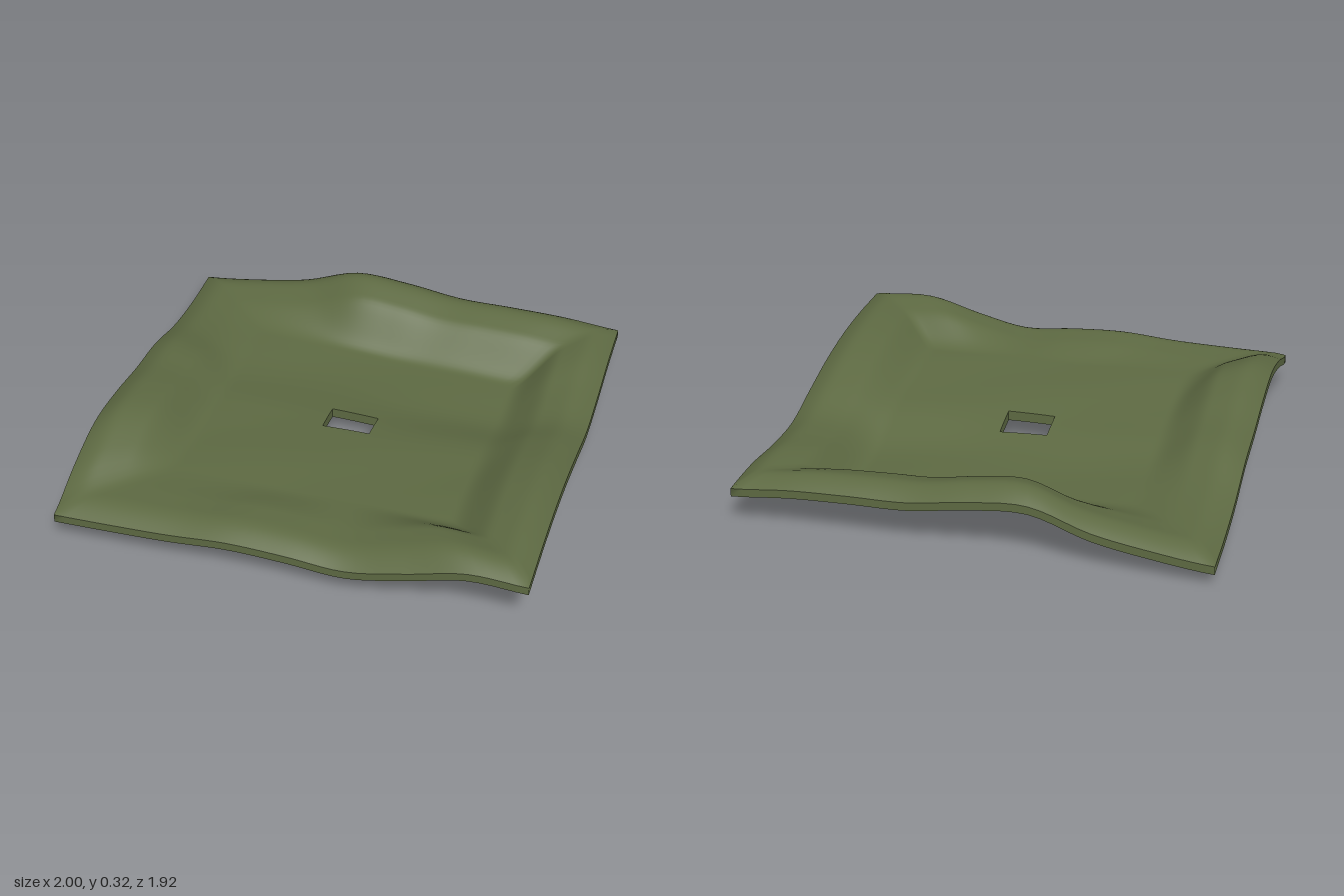
import * as THREE from 'three';

// Lip heights along each edge, evenly spaced from -1 to 1
const EDGE = {
  front: [0.145, 0.148, 0.155, 0.172, 0.162, 0.143, 0.193, 0.255, 0.245],
  back: [0.094, 0.125, 0.172, 0.257, 0.243, 0.207, 0.203, 0.195, 0.172],
  rightSide: [0.094, 0.1, 0.13, 0.192, 0.22, 0.26, 0.276, 0.225, 0.145],
  leftSide: [0.172, 0.165, 0.135, 0.125, 0.175, 0.222, 0.248, 0.253, 0.245],
};
const FLOOR = [0.055, 0.055, 0.052, 0.062, 0.108, 0.132, 0.145, 0.15, 0.15];
const HALF_X = 1, HALF_Z = 0.96;
const { lerp, clamp, smoothstep } = THREE.MathUtils;

// Smooth lookup (Catmull-Rom) in an evenly spaced table
function sample(table, p) {
  const f = clamp((p + 1) / 2, 0, 1) * (table.length - 1);
  const i = Math.min(Math.floor(f), table.length - 2), t = f - i;
  const at = (k) => table[clamp(k, 0, table.length - 1)];
  const a = at(i - 1), b = at(i), c = at(i + 1), d = at(i + 2);
  return b + 0.5 * t * (c - a + t * (2 * a - 5 * b + 4 * c - d + t * (3 * (b - c) + d - a)));
}

// Height of the middle of the sheet: sunken floor, raised wavy rim, drooping lip
function midHeight(x, z) {
  const u = x / HALF_X, v = z / HALF_Z;
  const s = Math.max(Math.abs(u), Math.abs(v), 1e-6);
  const edge = Math.abs(u) >= Math.abs(v)
    ? sample(u > 0 ? EDGE.leftSide : EDGE.rightSide, v / s)
    : sample(v > 0 ? EDGE.front : EDGE.back, u / s);
  const tilt = 0.053 * u * (1 - 0.8 * smoothstep(v, -0.3, 0.1));
  const ripple = 0.004 * Math.sin(9 * u + 4 * v) * Math.sin(8 * v - 3 * u);
  const floor = sample(FLOOR, v) - tilt + ripple;
  const rim = 0.75 * smoothstep(s, 0.59, 0.79) + 0.25 * smoothstep(s, 0.7, 0.93);
  const droop = 0.045 * Math.max(0, (s - 0.87) / 0.13) ** 2;
  return lerp(floor, edge + 0.022, rim) - droop;
}

// The sheet thins slightly towards its outer edge
function halfThickness(x, z) {
  const s = Math.max(Math.abs(x / HALF_X), Math.abs(z / HALF_Z));
  return 0.022 - 0.004 * smoothstep(s, 0.9, 1);
}

// Point on the unit square outline, a in 0..4, one unit per side
function squarePoint(a) {
  const side = Math.floor(a) % 4, t = (a - Math.floor(a)) * 2 - 1;
  return [[t, 1], [1, -t], [-t, -1], [-1, t]][side];
}

// Point of the sheet: a around the outline, t from hole to edge, h from -1 (under) to 1 (top)
function sheetPoint(a, t, h) {
  const [u, v] = squarePoint(a);
  const x = lerp(-0.005 + 0.105 * u, HALF_X * u, t);
  const z = lerp(-0.005 + 0.075 * v, HALF_Z * v, t);
  return [x, midHeight(x, z) + h * halfThickness(x, z), z];
}

// Closed band around the sheet following a profile of [t, h] pairs
function bandGeometry(profile) {
  const around = 160, pos = [], index = [];
  for (const [t, h] of profile)
    for (let i = 0; i < around; i++) pos.push(...sheetPoint((i / around) * 4, t, h));
  for (let r = 0; r < profile.length - 1; r++)
    for (let i = 0; i < around; i++) {
      const j = (i + 1) % around;
      const a = r * around + i, b = r * around + j, c = a + around, d = b + around;
      index.push(a, c, b, b, c, d);
    }
  const geo = new THREE.BufferGeometry();
  geo.setAttribute('position', new THREE.Float32BufferAttribute(pos, 3));
  geo.setIndex(index);
  geo.computeVertexNormals();
  return geo;
}

export function createModel() {
  const group = new THREE.Group();
  group.name = 'wavyCloth';
  const olive = new THREE.MeshStandardMaterial({ color: 0x5d6942 });
  olive.name = 'olive cloth';

  const rings = 64;
  const steps = Array.from({ length: rings + 1 }, (_, i) => i / rings);
  const parts = {
    topSurface: steps.map((t) => [t, 1]),
    outerEdge: [[1, 1], [1, -1]],
    underside: steps.map((t) => [1 - t, -1]),
    holeWall: [[0, -1], [0, 1]],
  };
  for (const [name, profile] of Object.entries(parts)) {
    const mesh = new THREE.Mesh(bandGeometry(profile), olive);
    mesh.name = name;
    group.add(mesh);
  }

  // Rest the lowest point on the ground
  const lowest = new THREE.Box3().setFromObject(group).min.y;
  group.children.forEach((m) => m.geometry.translate(0, -lowest, 0));
  return group;
}
